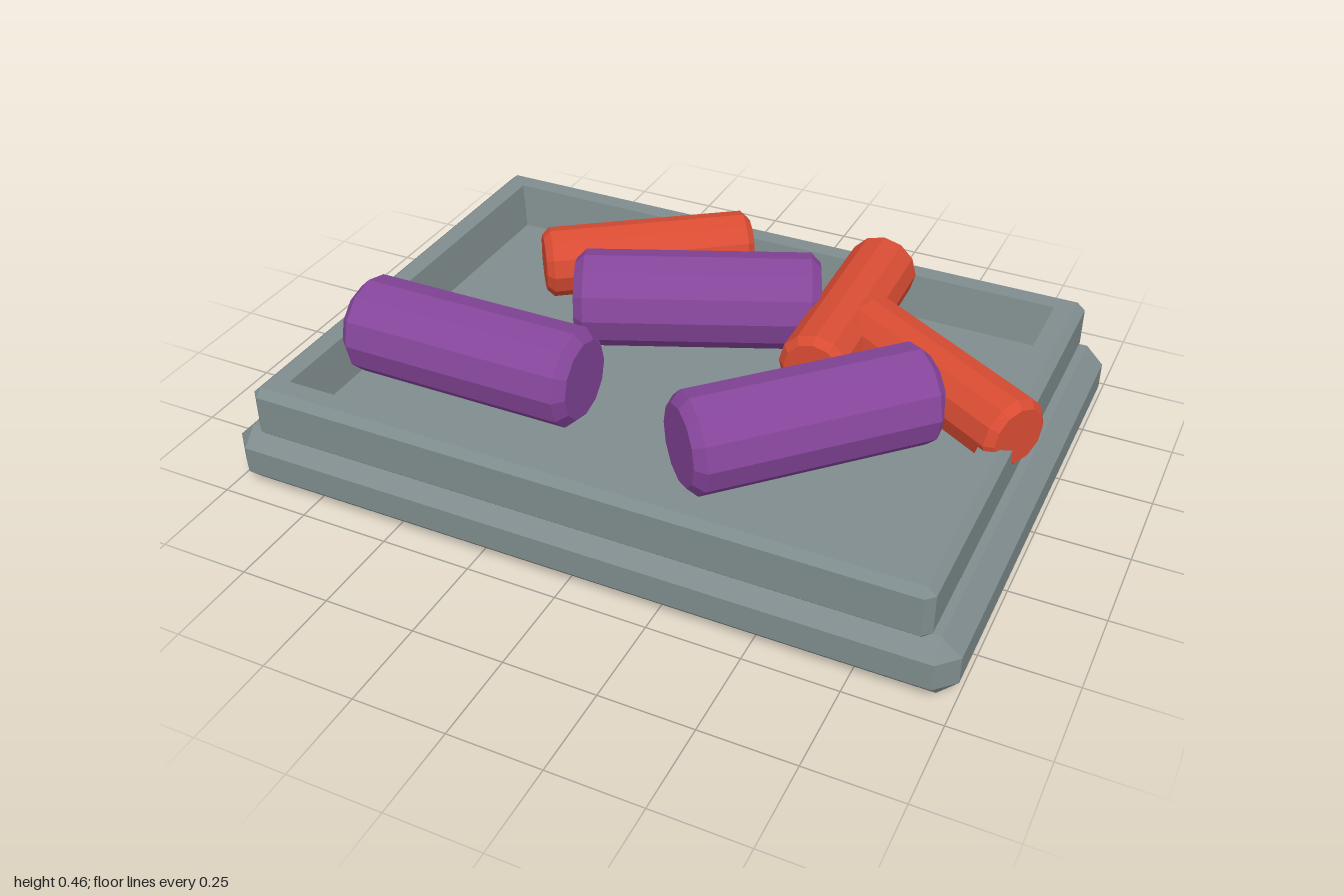
import * as THREE from 'three';

const paint = (color) => new THREE.MeshStandardMaterial({ color, flatShading: true, roughness: 0.8 });

// Skins rectangular loops [halfX, halfZ, cornerChamfer, y] listed from the bottom centre onward.
function loftRects(loops) {
  const rings = loops.map(([a, b, c, y]) => [
    [a, b - c], [a - c, b], [c - a, b], [-a, b - c],
    [-a, c - b], [c - a, -b], [a - c, -b], [a, c - b],
  ].map(([x, z]) => new THREE.Vector3(x, y, z)));
  const pos = [];
  const tri = (p, q, r) => {
    if (new THREE.Triangle(p, q, r).getArea() > 1e-8) [p, q, r].forEach((v) => pos.push(v.x, v.y, v.z));
  };
  for (let k = 0; k + 1 < rings.length; k++) {
    for (let i = 0; i < 8; i++) {
      const j = (i + 1) % 8, lo = rings[k], hi = rings[k + 1];
      tri(lo[i], hi[i], hi[j]);
      tri(lo[i], hi[j], lo[j]);
    }
  }
  const g = new THREE.BufferGeometry();
  g.setAttribute('position', new THREE.Float32BufferAttribute(pos, 3));
  g.computeVertexNormals();
  return g;
}

// Twelve-sided rod with chamfered ends, lying along x.
function rodGeometry(radius, length, bevel) {
  const h = length / 2;
  const profile = [[0, -h], [radius - bevel, -h], [radius, bevel - h], [radius, h - bevel], [radius - bevel, h], [0, h]]
    .map(([r, y]) => new THREE.Vector2(r, y));
  return new THREE.LatheGeometry(profile, 12).rotateZ(-Math.PI / 2);
}

export function createModel() {
  const model = new THREE.Group();
  model.name = 'trayWithRods';
  const grey = paint(0x7f8c8d), red = paint(0xd94c33), purple = paint(0x85459a);

  const add = (name, geometry, material) => {
    const mesh = new THREE.Mesh(geometry, material);
    mesh.name = name;
    model.add(mesh);
    return mesh;
  };

  // Chamfered base slab
  add('trayBase', loftRects([
    [0, 0, 0, 0], [0.95, 0.66, 0, 0], [1, 0.707, 0.05, 0.05],
    [1, 0.707, 0.05, 0.125], [0.95, 0.66, 0, 0.173], [0, 0, 0, 0.173],
  ]), grey);

  // Raised rim with the sunken floor
  add('trayRim', loftRects([
    [0, 0, 0, 0.155], [0.905, 0.66, 0, 0.155], [0.928, 0.682, 0.022, 0.177],
    [0.928, 0.682, 0.022, 0.285], [0.905, 0.66, 0, 0.305], [0.852, 0.607, 0, 0.305],
    [0.832, 0.585, 0, 0.18], [0, 0, 0, 0.18],
  ]), grey);

  // Rods: centre x, centre z, direction x, direction z
  const scatter = (name, geometry, material, y, places) => places.forEach(([x, z, dx, dz], i) => {
    const rod = add(name + (i + 1), geometry, material);
    rod.position.set(x, y, z);
    rod.rotation.y = Math.atan2(-dz, dx);
  });
  scatter('purpleRod', rodGeometry(0.135, 0.68, 0.027), purple, 0.32, [
    [-0.49, 0.29, 1, 0],
    [-0.055, -0.2, 0.605, -0.26],
    [0.43, 0.2, 0.45, -0.46],
  ]);
  scatter('redRod', rodGeometry(0.1, 0.605, 0.02), red, 0.32, [
    [-0.295, -0.37, 0.49, -0.35],
    [0.36, -0.3, 0.015, 0.6],
    [0.678, -0.105, 0.49, 0.3],
  ]);
  return model;
}
